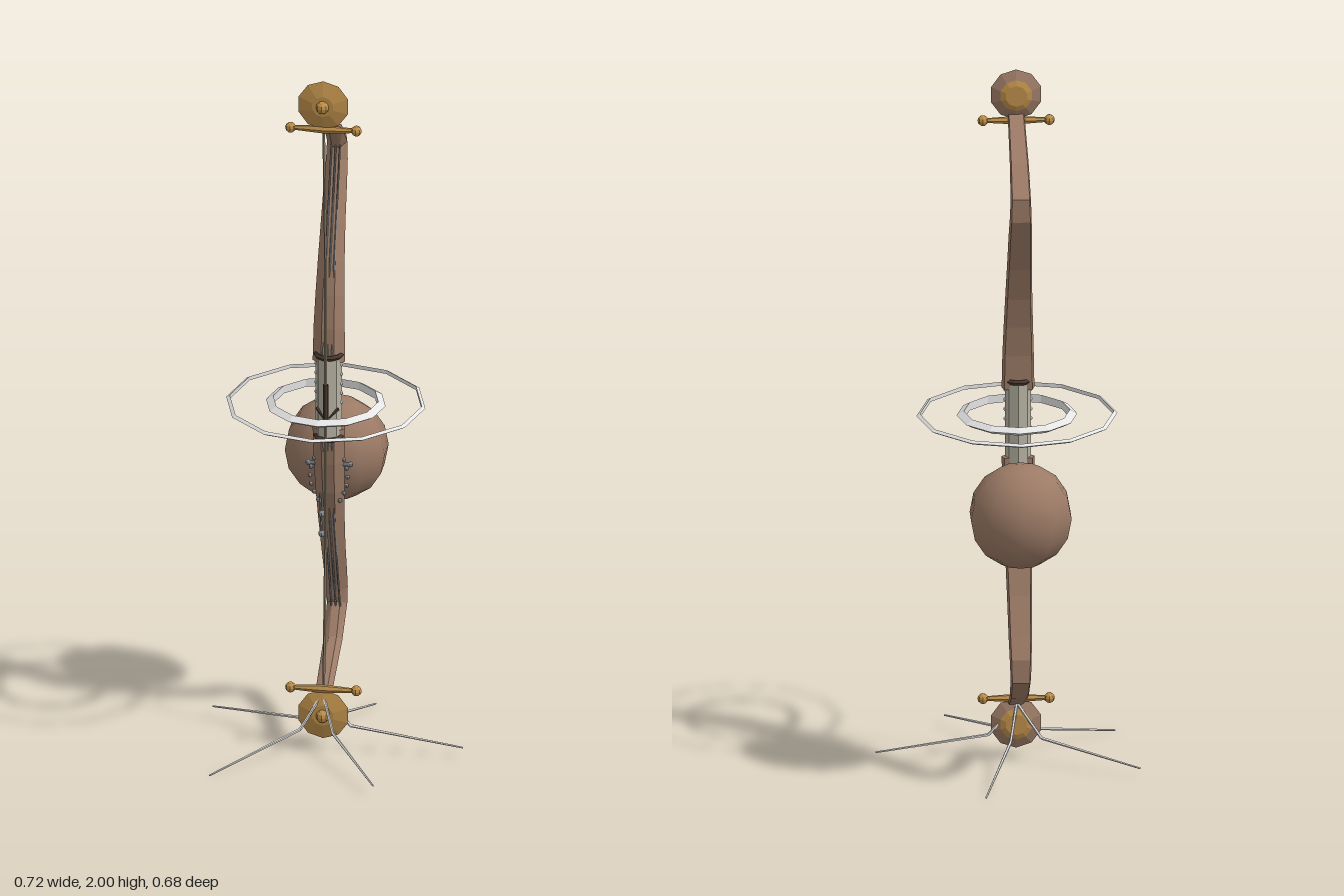
import * as THREE from 'three';

const mat = (name, color, flatShading = true) => {
  const m = new THREE.MeshStandardMaterial({ color, flatShading });
  m.name = name;
  return m;
};
const V = (x, y, z) => new THREE.Vector3(x, y, z);

export function createModel() {
  const wood = mat('brown wood', 0x9c7b66);
  const gourdMat = mat('gourd brown', 0x9c7b66, false);
  const gold = mat('gold', 0xbd8f4a);
  const grip = mat('pale grip', 0xb6b2a2);
  const silver = mat('silver', 0xe4e4e4);
  const steel = mat('steel', 0x8b8f95);
  const cord = mat('bow cord', 0x978b74);
  const binding = mat('dark binding', 0x4a3830);

  const root = new THREE.Group();
  const body = new THREE.Group();
  body.name = 'bow';
  body.position.set(-0.028, 1.02, 0);
  root.add(body);

  const add = (parent, name, geo, material, x = 0, y = 0, z = 0) => {
    const m = new THREE.Mesh(geo, material);
    m.name = name;
    m.position.set(x, y, z);
    parent.add(m);
    return m;
  };
  // Tapered straight rod between two points
  const rod = (parent, name, a, b, r0, r1, material, sides = 5) => {
    const d = b.clone().sub(a);
    const m = add(parent, name, new THREE.CylinderGeometry(r1, r0, d.length(), sides), material);
    m.position.copy(a).lerp(b, 0.5);
    m.quaternion.setFromUnitVectors(V(0, 1, 0), d.normalize());
    return m;
  };
  const ball = (parent, name, r, material, x, y, z) =>
    add(parent, name, new THREE.SphereGeometry(r, 8, 6), material, x, y, z);

  // Curved limb: [height, z, half width, half thickness]
  const limbRows = [
    [0.1, -0.06, 0.045, 0.026], [0.2, -0.065, 0.043, 0.024], [0.29, -0.08, 0.04, 0.023],
    [0.38, -0.104, 0.037, 0.022], [0.48, -0.14, 0.034, 0.022], [0.58, -0.184, 0.032, 0.022],
    [0.64, -0.212, 0.03, 0.022], [0.69, -0.216, 0.028, 0.021], [0.765, -0.14, 0.026, 0.01],
    [0.85, 0.04, 0.023, 0.005],
  ];
  // Cross-section corners: [share of width, share of thickness], front first
  const section = [[-0.4, 1], [0.4, 1], [1, -0.1], [0.85, -1], [-0.85, -1], [-1, -0.1]];
  function limbGeometry() {
    const pos = [], index = [], n = section.length;
    limbRows.forEach(([y, z, w, t], i) => {
      const lo = limbRows[Math.max(i - 1, 0)], hi = limbRows[Math.min(i + 1, limbRows.length - 1)];
      const len = Math.hypot(hi[0] - lo[0], hi[1] - lo[1]);
      const ny = -(hi[1] - lo[1]) / len * t, nz = (hi[0] - lo[0]) / len * t;
      for (const [sx, st] of section) pos.push(sx * w, y + ny * st, z + nz * st);
      if (!i) return;
      for (let k = 0; k < n; k++) {
        const a = (i - 1) * n + k, b = (i - 1) * n + (k + 1) % n;
        index.push(a, b, b + n, a, b + n, a + n);
      }
    });
    const e = (limbRows.length - 1) * n;
    for (let k = 1; k < n - 1; k++) index.push(e, e + k, e + k + 1, 0, k + 1, k);
    const g = new THREE.BufferGeometry();
    g.setAttribute('position', new THREE.Float32BufferAttribute(pos, 3));
    g.setIndex(index);
    g.computeVertexNormals();
    return g;
  }

  // Upper and lower halves share the same parts, turned half a turn
  for (const turn of [0, Math.PI]) {
    const half = new THREE.Group();
    half.name = turn ? 'lowerHalf' : 'upperHalf';
    half.rotation.z = turn;
    body.add(half);

    add(half, 'limb', limbGeometry(), wood);
    for (const x of [-0.012, 0, 0.012]) {
      rod(half, 'limbCord', V(x, 0.12, -0.033), V(x, 0.38, -0.08), 0.0025, 0.0025, steel, 4);
      rod(half, 'limbCord', V(x, 0.38, -0.08), V(x, 0.69, -0.192), 0.0025, 0.0025, steel, 4);
    }

    // Round end boss with gold face and wooden back
    const boss = new THREE.Group();
    boss.name = 'endBoss';
    boss.position.set(0, 0.91, 0.043);
    half.add(boss);
    const face = add(boss, 'bossFace', new THREE.CylinderGeometry(0.03, 0.072, 0.012, 10), gold, 0, 0, 0.008);
    face.rotation.x = Math.PI / 2;
    const back = add(boss, 'bossBack', new THREE.CylinderGeometry(0.072, 0.045, 0.012, 10), wood, 0, 0, -0.004);
    back.rotation.x = Math.PI / 2;
    const hub = add(boss, 'bossBackHub', new THREE.CylinderGeometry(0.045, 0.03, 0.006, 10), gold, 0, 0, -0.013);
    hub.rotation.x = Math.PI / 2;
    ball(boss, 'bossKnob', 0.018, gold, 0, 0, 0.018);

    // Cross bar with ball ends
    for (const s of [-1, 1]) {
      rod(half, 'crossBar', V(s * 0.09, 0.837, 0.04), V(0, 0.837, 0.04), 0.006, 0.012, gold, 6);
      ball(half, 'crossBarBall', 0.015, gold, s * 0.091, 0.837, 0.04);
    }

    // Bow string, drawn straight through the middle
    const stringPts = [V(0, 0, 0), V(0, 0.42, 0.001), V(0, 0.6, 0.013), V(0, 0.85, 0.036)];
    for (let i = 0; i < 3; i++) rod(half, 'string', stringPts[i], stringPts[i + 1], 0.004, 0.004, cord);

    // Binding where limb meets grip
    const band = add(half, 'gripBinding', new THREE.TorusGeometry(0.034, 0.008, 5, 10), binding, 0, 0.122, -0.06);
    band.rotation.x = Math.PI / 2;
  }

  // Grip, side studs and bolts
  add(body, 'grip', new THREE.CylinderGeometry(0.036, 0.036, 0.25, 8), grip, 0, 0, -0.06);
  for (const s of [-1, 1]) {
    for (let i = 0; i < 5; i++) ball(body, 'gripStud', 0.006, silver, s * 0.034, -0.02 + i * 0.028, -0.06);
    rod(body, 'sideBolt', V(s * 0.03, -0.21, -0.07), V(s * 0.058, -0.21, -0.07), 0.006, 0.006, steel, 6);
    ball(body, 'boltHead', 0.008, steel, s * 0.058, -0.21, -0.07);
    rod(body, 'frontClaw', V(s * 0.03, -0.03, -0.035), V(s * 0.008, -0.05, -0.012), 0.005, 0.002, binding, 4);
  }
  add(body, 'stringWrap', new THREE.CylinderGeometry(0.008, 0.008, 0.11, 6), binding);

  // Two faceted floating rings around the grip
  for (const [name, r, t] of [['innerRing', 0.152, 0.0135], ['outerRing', 0.269, 0.0065]]) {
    const ring = add(body, name, new THREE.TorusGeometry(r, t, 3, 12), silver, 0, 0, -0.004);
    ring.rotation.x = -Math.PI / 2;
  }

  // Gourd, slightly flattened from front to back
  const gourd = add(body, 'gourd', new THREE.SphereGeometry(1, 10, 8, Math.PI / 2), gourdMat, 0, -0.222, -0.21);
  gourd.scale.set(0.145, 0.148, 0.129);

  // Bead strands draped beside the lower limb
  for (const s of [-1, 1]) {
    for (let i = 0; i < 7; i++) {
      const a = i / 6 * Math.PI;
      ball(body, 'bead', 0.0065, steel, s * (0.03 + 0.022 * Math.sin(a)), -0.17 - i * 0.025, -0.07 + 0.008 * Math.sin(a));
    }
  }
  rod(body, 'pendantCord', V(-0.025, -0.3, -0.066), V(-0.02, -0.42, -0.066), 0.003, 0.003, steel);
  for (const y of [-0.36, -0.42]) ball(body, 'pendantBead', 0.01, steel, -0.02, y, -0.066);

  // Five thin bent legs
  const feet = [
    [-0.36, 0.034, -0.135], [-0.31, 0.006, 0.27], [0.153, 0.034, 0.338], [0.358, 0.032, 0.04], [0.07, 0.006, -0.28],
  ];
  for (const [x, y, z] of feet) {
    const top = V(-0.03, 0.17, 0.04), foot = V(x, y, z);
    const knee = top.clone().lerp(foot, 0.2).setY(0.078);
    rod(root, 'legUpper', top, knee, 0.004, 0.0045, silver);
    rod(root, 'legLower', knee, foot, 0.0045, 0.0025, silver);
  }
  return root;
}
